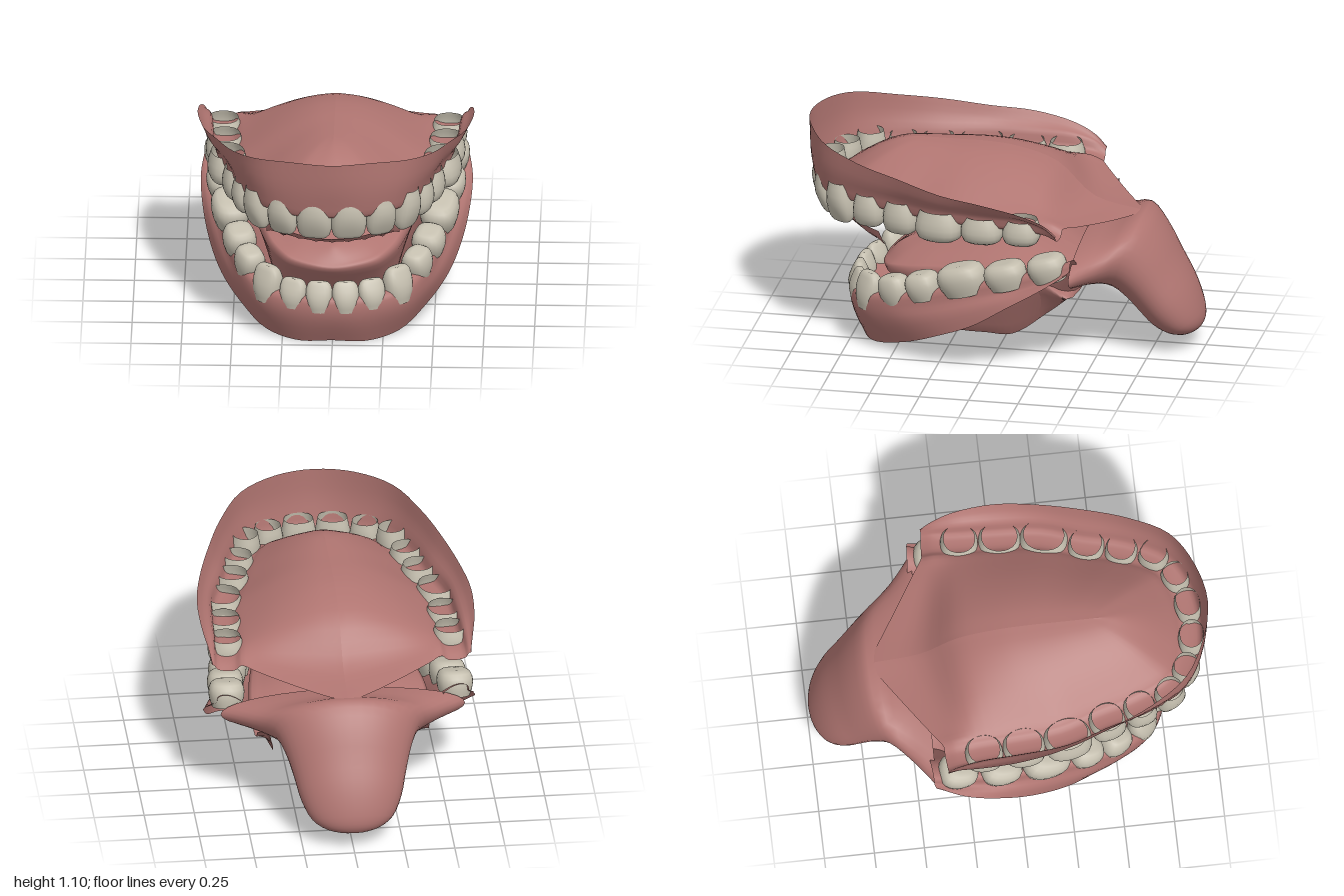
import * as THREE from 'three';
import { mergeVertices } from 'three/addons/utils/BufferGeometryUtils.js';

const V = (x, y, z) => new THREE.Vector3(x, y, z);

// Smooth surface from a grid of points
function loft(rows, closed = false) {
  const pos = [], idx = [], m = rows[0].length;
  rows.forEach(r => r.forEach(p => pos.push(p.x, p.y, p.z)));
  for (let i = 0; i < rows.length - 1; i++) {
    for (let j = 0; j < (closed ? m : m - 1); j++) {
      const k = (j + 1) % m, a = i * m + j, b = i * m + k, c = a + m, d = b + m;
      idx.push(a, c, b, b, c, d);
    }
  }
  const g = new THREE.BufferGeometry();
  g.setAttribute('position', new THREE.Float32BufferAttribute(pos, 3));
  g.setIndex(idx);
  g.computeVertexNormals();
  return g;
}

// Symmetric curve from stations running from the front to the left rear
function archCurve(points) {
  const mirrored = points.slice(1).reverse().map(p => V(-p.x, p.y, p.z));
  return new THREE.CatmullRomCurve3([...mirrored, ...points]);
}

// Sweeps a section, given by section(stationPoints, outwardNormal), round an arch
function jawSurface(curves, section, columns, samples) {
  const rows = [];
  for (let i = 0; i <= columns; i++) {
    const u = i / columns;
    const t = curves[1].getTangent(u);
    const n = V(-t.z, 0, t.x).normalize();
    const pts = section(curves.map(c => c.getPoint(u)), n);
    rows.push(new THREE.CatmullRomCurve3(pts).getPoints(samples));
  }
  return loft(rows);
}

// Rim x y z, tooth line x y z, palate ridge z y
const UPPER = [
  [0, 1.095, 1.0, 0, 0.8, 0.91, 0.45, 1.0],
  [0.2, 1.092, 0.955, 0.16, 0.8, 0.89, 0.43, 1.0],
  [0.38, 1.065, 0.85, 0.31, 0.81, 0.81, 0.4, 1.0],
  [0.5, 1.02, 0.66, 0.41, 0.8, 0.62, 0.33, 1.0],
  [0.58, 0.985, 0.45, 0.465, 0.79, 0.42, 0.24, 1.0],
  [0.65, 0.94, 0.22, 0.53, 0.785, 0.22, 0.1, 1.0],
  [0.685, 0.915, 0, 0.55, 0.78, 0, -0.05, 0.985],
  [0.68, 0.87, -0.2, 0.56, 0.775, -0.2, -0.25, 0.92],
  [0.66, 0.82, -0.31, 0.57, 0.765, -0.31, -0.44, 0.75],
  [0.645, 0.765, -0.37, 0.575, 0.74, -0.37, -0.7, 0.69],
];
// Rim x y z, tooth line x y z, floor groove x y z, tongue ridge z y
const LOWER = [
  [0, 0.01, 0.71, 0, 0.25, 0.735, 0, 0.15, 0.45, 0.5, 0.455],
  [0.17, 0, 0.69, 0.14, 0.25, 0.72, 0.12, 0.14, 0.43, 0.46, 0.465],
  [0.33, 0.02, 0.6, 0.3, 0.26, 0.655, 0.22, 0.12, 0.36, 0.38, 0.485],
  [0.46, 0.08, 0.42, 0.41, 0.3, 0.51, 0.28, 0.11, 0.27, 0.28, 0.51],
  [0.56, 0.16, 0.25, 0.47, 0.345, 0.34, 0.3, 0.1, 0.17, 0.18, 0.535],
  [0.625, 0.25, 0.06, 0.52, 0.41, 0.13, 0.31, 0.1, 0.05, 0.05, 0.56],
  [0.665, 0.37, -0.12, 0.555, 0.48, -0.1, 0.31, 0.1, -0.08, -0.1, 0.565],
  [0.675, 0.47, -0.28, 0.57, 0.54, -0.3, 0.33, 0.22, -0.25, -0.25, 0.52],
  [0.65, 0.56, -0.42, 0.58, 0.6, -0.44, 0.38, 0.41, -0.45, -0.46, 0.42],
];
// Tooth x, z, tip y, root y, width, depth, thinning of the biting edge
const UPPER_TEETH = [
  [0.085, 0.91, 0.663, 0.87, 0.18, 0.14, 0.4], [0.242, 0.865, 0.668, 0.865, 0.155, 0.14, 0.4],
  [0.365, 0.77, 0.663, 0.875, 0.155, 0.15, 0.5], [0.42, 0.615, 0.677, 0.845, 0.165, 0.17, 0.85],
  [0.465, 0.445, 0.667, 0.835, 0.185, 0.18, 0.9], [0.53, 0.24, 0.667, 0.825, 0.245, 0.2, 1],
  [0.55, 0.02, 0.677, 0.815, 0.215, 0.19, 1], [0.56, -0.18, 0.685, 0.815, 0.19, 0.18, 1],
];
const LOWER_TEETH = [
  [0.065, 0.74, 0.345, 0.19, 0.135, 0.12, 0.4], [0.193, 0.71, 0.348, 0.2, 0.14, 0.12, 0.4],
  [0.32, 0.635, 0.385, 0.2, 0.16, 0.14, 0.5], [0.415, 0.51, 0.41, 0.26, 0.165, 0.15, 0.85],
  [0.47, 0.355, 0.455, 0.32, 0.175, 0.17, 0.9], [0.52, 0.15, 0.53, 0.38, 0.25, 0.19, 1],
  [0.555, -0.08, 0.572, 0.44, 0.215, 0.18, 1], [0.57, -0.295, 0.63, 0.5, 0.2, 0.18, 1],
];

// Crown with a rounded square section, open at the root
function toothGeometry(w, d, h, edge) {
  const profile = [[0, 0.03], [0.35, 0], [0.66, 0.02], [0.86, 0.11], [0.97, 0.28], [1, 0.46],
    [0.96, 0.68], [0.88, 0.86], [0.82, 1]].map(p => new THREE.Vector2(...p));
  let g = new THREE.LatheGeometry(profile, 24);
  g.deleteAttribute('uv');
  g.deleteAttribute('normal');
  g = mergeVertices(g, 1e-4);
  const p = g.attributes.position;
  for (let i = 0; i < p.count; i++) {
    const x = p.getX(i), y = p.getY(i), z = p.getZ(i), r = Math.hypot(x, z);
    const square = r > 1e-6 ? r / Math.pow(x ** 4 + z ** 4, 0.25) : 1;
    const round = 1 + (square - 1) * 0.6 * (1 - 0.7 * y);
    const thin = edge + (1 - edge) * Math.min(1, y / 0.6);
    p.setXYZ(i, x * round * w / 2, y * h, z * round * thin * d / 2);
  }
  g.computeVertexNormals();
  return g;
}

// Mirrored row of teeth; the back teeth lean by the given angle
function toothRow(name, table, material, lean) {
  const row = new THREE.Group();
  row.name = name;
  table.forEach(([x, z, tip, root, w, d, edge], i) => {
    const prev = i ? table[i - 1] : [-x, z], next = table[i + 1] || table[i];
    const heading = Math.atan2(prev[1] - next[1], next[0] - prev[0]);
    const g = toothGeometry(w, d, Math.abs(root - tip), edge);
    for (const s of [1, -1]) {
      const tooth = new THREE.Mesh(g, material);
      tooth.name = 'tooth';
      tooth.position.set(s * x, tip, z);
      tooth.rotation.set(0, s * heading, root < tip ? Math.PI : 0);
      tooth.rotateOnWorldAxis(V(1, 0, 0), i > 2 ? lean : 0);
      row.add(tooth);
    }
  });
  return row;
}

export function createModel() {
  const gum = new THREE.MeshStandardMaterial({ color: 0xb07571, side: THREE.DoubleSide });
  gum.name = 'gum pink';
  const enamel = new THREE.MeshStandardMaterial({ color: 0xc6c0b0, side: THREE.DoubleSide });
  enamel.name = 'tooth ivory';
  const model = new THREE.Group();
  model.name = 'mouth';
  const add = (name, geometry) => {
    const mesh = new THREE.Mesh(geometry, gum);
    mesh.name = name;
    model.add(mesh);
  };
  const off = (p, n, k, dy) => p.clone().addScaledVector(n, k).add(V(0, dy, 0));

  // Upper gum wall, tooth trough and palate in one sheet
  const upper = [r => V(r[0], r[1], r[2]), r => V(r[3], r[4], r[5]), r => V(0, r[7], r[6])]
    .map(f => archCurve(UPPER.map(f)));
  add('upperGumAndPalate', jawSurface(upper, ([rim, t, ridge], n) => {
    const inner = off(t, n, -0.075, 0.01);
    const wall = off(t, n, 0.062, Math.min(0.05, (rim.y - t.y) * 0.5));
    const pts = [rim, rim.clone().lerp(wall, 0.55).addScaledVector(n, 0.008), wall,
      off(t, n, 0.045, -0.01), off(t, n, 0, -0.02), off(t, n, -0.045, -0.015), inner];
    for (const s of [0.12, 0.25, 0.4, 0.6, 0.8, 1]) {
      const p = inner.clone().lerp(ridge, s);
      p.y = inner.y + (ridge.y - inner.y) * Math.sin(s * Math.PI / 2);
      pts.push(p);
    }
    return pts;
  }, 72, 32));

  // Lower gum wall, tooth trough, floor groove and tongue in one sheet
  const lower = [r => V(r[0], r[1], r[2]), r => V(r[3], r[4], r[5]),
    r => V(r[6], r[7], r[8]), r => V(0, r[10], r[9])].map(f => archCurve(LOWER.map(f)));
  add('lowerGumAndTongue', jawSurface(lower, ([rim, t, groove, ridge], n) => {
    const wall = off(t, n, 0.052, -Math.min(0.05, (t.y - rim.y) * 0.5));
    const inner = off(t, n, -0.065, -0.01);
    const side = off(t, n, -0.115, 0);
    side.y = Math.max(ridge.y - 0.1, groove.y);
    side.lerp(groove, Math.max(0, (groove.y - 0.2) * 2));
    const pts = [rim, rim.clone().lerp(wall, 0.6).addScaledVector(n, 0.012), wall,
      off(t, n, 0.042, 0.01), off(t, n, 0, 0.02), inner,
      inner.clone().lerp(groove, 0.5), groove, groove.clone().lerp(side, 0.6), side];
    for (const s of [0.15, 0.4, 0.7, 1]) {
      const p = side.clone().lerp(ridge, s);
      p.y = side.y + (ridge.y - side.y) * Math.sin(s * Math.PI / 2);
      pts.push(p);
    }
    return pts;
  }, 72, 36));

  // Throat pouch: top z y, bottom z y, half width
  const rings = [
    [-0.42, 0.62, -0.43, 0.395, 0.61], [-0.56, 0.65, -0.5, 0.37, 0.47],
    [-0.7, 0.7, -0.56, 0.32, 0.365], [-0.79, 0.61, -0.62, 0.26, 0.315],
    [-0.87, 0.47, -0.68, 0.19, 0.28], [-0.945, 0.33, -0.74, 0.125, 0.25],
    [-0.99, 0.2, -0.81, 0.085, 0.2], [-0.995, 0.14, -0.88, 0.07, 0.13],
    [-0.975, 0.1, -0.93, 0.078, 0.05], [-0.955, 0.09, -0.953, 0.086, 0.004],
  ];
  const ribs = [];
  for (let j = 0; j < 36; j++) {
    const a = j / 36 * Math.PI * 2;
    ribs.push(new THREE.CatmullRomCurve3(rings.map(([tz, ty, bz, by, w]) => {
      const k = (1 + Math.cos(a)) / 2;
      return V(w * Math.sin(a), by + (ty - by) * k, bz + (tz - bz) * k);
    })).getPoints(27));
  }
  add('throat', loft(ribs[0].map((_, i) => ribs.map(r => r[i])), true));

  // Uvula hanging from the soft palate
  const drop = [[0, 0.63], [0.035, 0.635], [0.055, 0.655], [0.06, 0.68], [0.07, 0.715]]
    .map(p => new THREE.Vector2(...p));
  const uvula = new THREE.LatheGeometry(drop, 20);
  uvula.translate(0, 0, -0.48);
  add('uvula', uvula);

  // Thin ragged flap between the jaws
  const flap = [[], [], []];
  for (let i = 0; i <= 32; i++) {
    const a = i / 16 - 1, jag = i % 4 === 0 ? 0.02 : 0;
    const front = V(0.33 * a, 0.635 - 0.03 * a * a, 0.87 - 0.28 * a * a);
    const back = V(0.33 * a, 0.56 - 0.01 * a * a - jag, 0.71 - 0.14 * a * a - jag);
    flap[0].push(front);
    flap[1].push(front.clone().lerp(back, 0.5).add(V(0, -0.012, 0)));
    flap[2].push(back);
  }
  add('flap', loft(flap));

  model.add(toothRow('upperTeeth', UPPER_TEETH, enamel, 0));
  model.add(toothRow('lowerTeeth', LOWER_TEETH, enamel, 0.27));
  return model;
}
